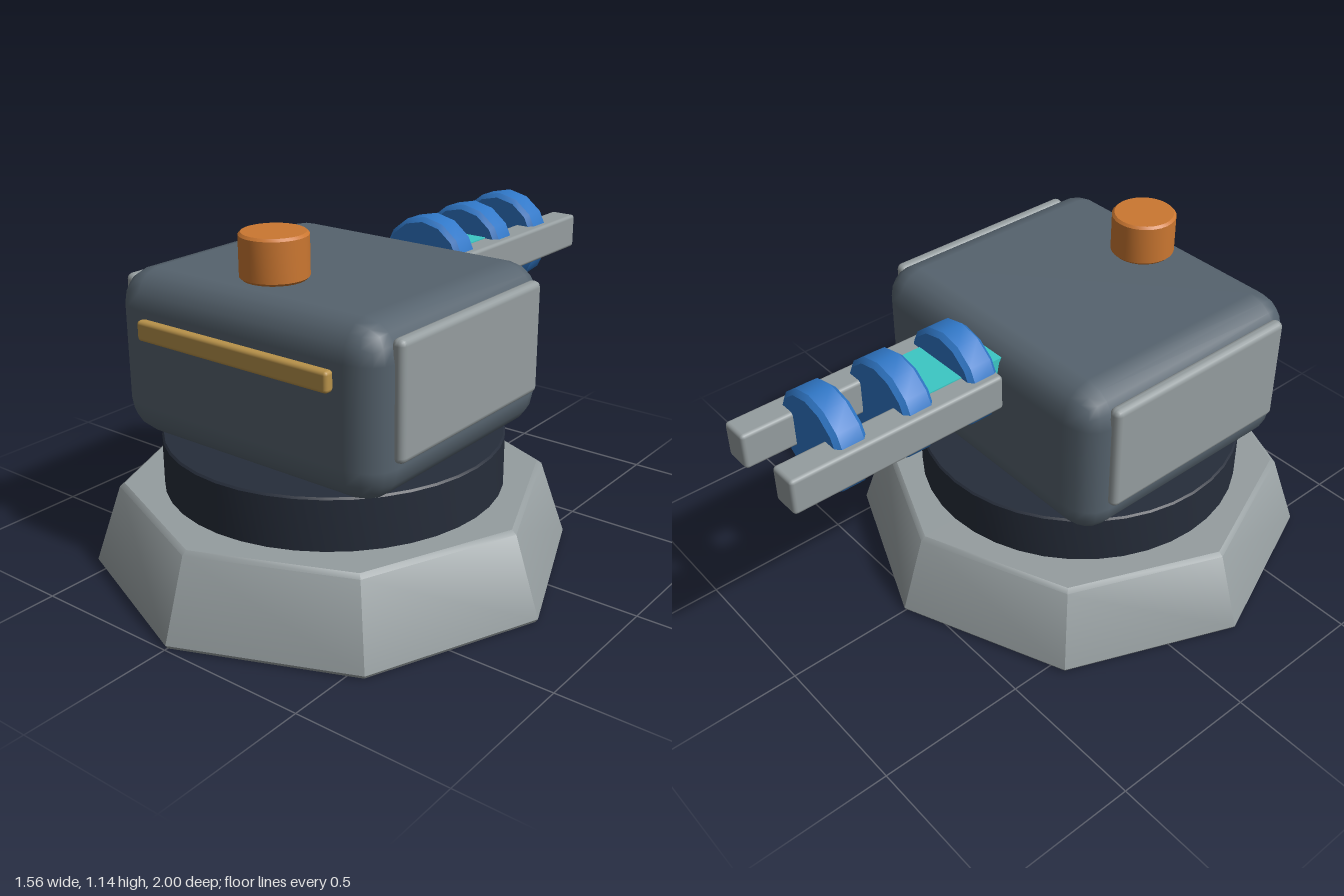
import * as THREE from 'three';
import { toCreasedNormals } from 'three/addons/utils/BufferGeometryUtils.js';
import { RoundedBoxGeometry } from 'three/addons/geometries/RoundedBoxGeometry.js';

function material(name, color) {
  const m = new THREE.MeshStandardMaterial({ color });
  m.name = name;
  return m;
}

// Solid of revolution with bevelled rims; r0 is the bottom radius, r1 the top.
function bevelledDrum(r0, r1, y0, y1, bevel, sides) {
  const slope = (r1 - r0) / (y1 - y0);
  const profile = [
    [0, y0], [r0 - bevel, y0], [r0 + slope * bevel, y0 + bevel],
    [r1 - slope * bevel, y1 - bevel], [r1 - bevel, y1], [0, y1],
  ].map(([x, y]) => new THREE.Vector2(x, y));
  return toCreasedNormals(new THREE.LatheGeometry(profile, sides), 0.6);
}

export function createModel() {
  const model = new THREE.Group();
  model.name = 'turret';

  const lightGrey = material('light grey', 0x959d9f);
  const slate = material('slate grey', 0x56636e);
  const navy = material('dark navy', 0x262d3a);
  const blue = material('coil blue', 0x3078c8);
  const cyan = material('glowing cyan', 0x3cc8c4);
  const orange = material('orange', 0xcb7731);
  const brass = material('brass', 0xb8924a);

  function add(name, geometry, mat, x, y, z) {
    const mesh = new THREE.Mesh(geometry, mat);
    mesh.name = name;
    mesh.position.set(x, y, z);
    model.add(mesh);
    return mesh;
  }

  // Octagonal foot and the turning ring on it
  const pivotZ = 0.215;
  add('base', bevelledDrum(0.785, 0.69, 0, 0.28, 0.012, 8), lightGrey, 0, 0, pivotZ);
  add('turningRing', bevelledDrum(0.55, 0.55, 0.27, 0.45, 0.006, 40), navy, 0, 0, pivotZ);

  // Housing, with corners a little tighter front to back
  const housing = new RoundedBoxGeometry(1.03, 0.54, 0.895 / 0.85, 2, 0.115);
  housing.scale(1, 1, 0.85);
  add('housing', housing, slate, 0, 0.715, 0.2175);

  // Side armour
  for (const side of [-1, 1]) {
    add(side > 0 ? 'leftArmourPlate' : 'rightArmourPlate',
      new RoundedBoxGeometry(0.045, 0.365, 0.72, 2, 0.02), lightGrey, side * 0.5175, 0.76, 0.22);
  }

  // Front bar and roof knob
  add('frontBar', new RoundedBoxGeometry(0.74, 0.065, 0.035, 2, 0.012), brass, 0, 0.818, 0.681);
  add('roofKnob', bevelledDrum(0.105, 0.105, 1.0, 1.14, 0.008, 28), orange, 0, 0, 0.48);

  // Rail gun at the back: energy core, two rails and three coils
  add('energyCore', new THREE.BoxGeometry(0.205, 0.125, 0.37), cyan, 0, 0.875, -0.365);
  for (const side of [-1, 1]) {
    add(side > 0 ? 'leftRail' : 'rightRail',
      new RoundedBoxGeometry(0.095, 0.121, 0.738, 2, 0.012), lightGrey, side * 0.127, 0.873, -0.631);
  }
  const coil = bevelledDrum(0.165, 0.165, -0.052, 0.052, 0.015, 14);
  coil.rotateX(Math.PI / 2);
  [-0.312, -0.547, -0.78].forEach((z, i) => add('coil' + (i + 1), coil, blue, 0, 0.872, z));

  return model;
}
